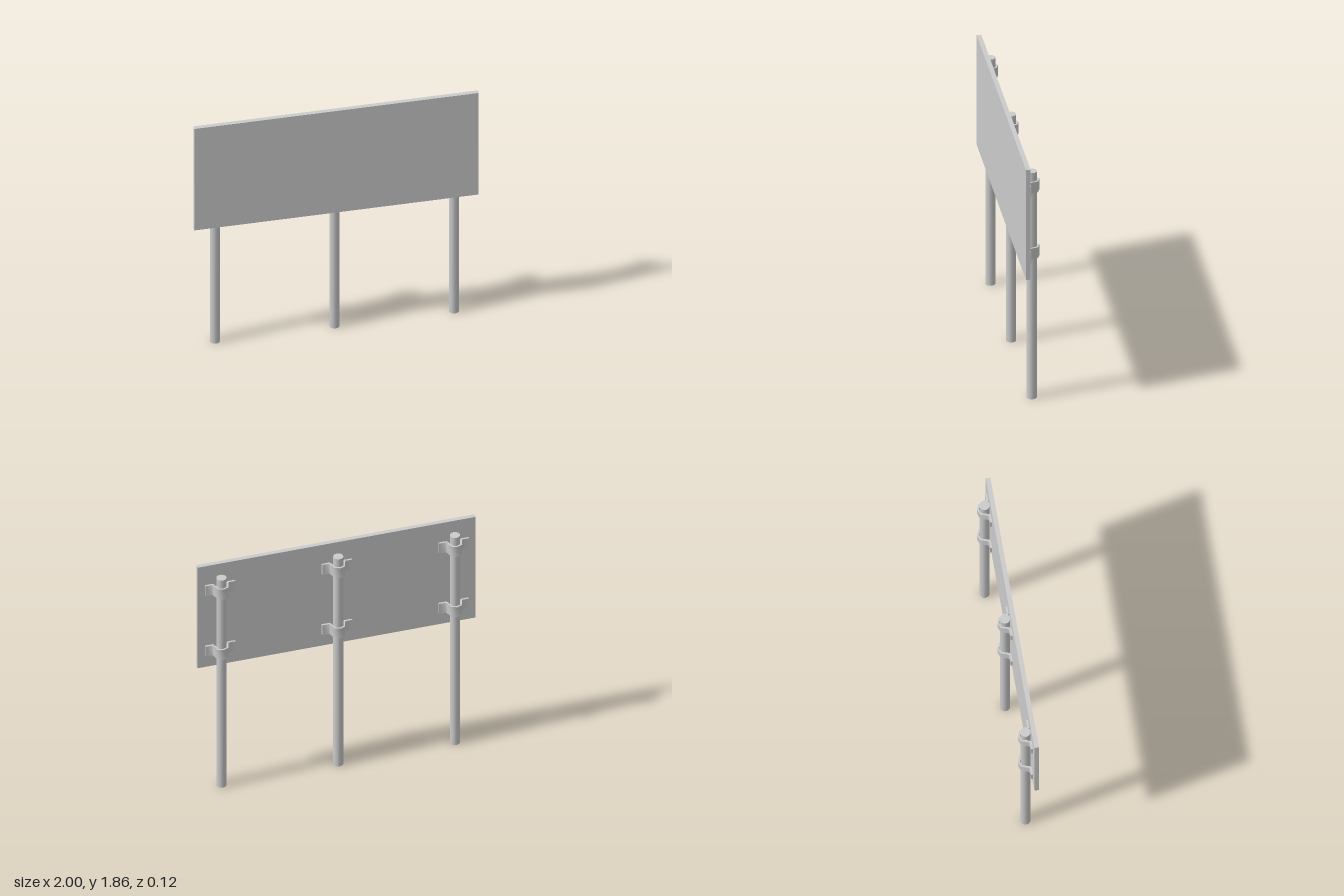
import * as THREE from 'three';
import { toCreasedNormals } from 'three/addons/utils/BufferGeometryUtils.js';

const POST_X = [-0.84, 0, 0.84];
const POST_Z = -0.0075;
const POST_HEIGHT = 1.76;
const CLAMP_Y = [1.14, 1.653];
const CLAMP_HEIGHT = 0.084;

// Hat-shaped strap seen from above: one half listed, the other mirrored
function clampGeometry() {
  const outer = [[0.108, 0.014], [0.06, 0.014], [0.053, 0.004], [0.038, -0.045], [0, -0.06]];
  const inner = [[0, -0.046], [0.028, -0.036], [0.043, 0.014], [0.052, 0.028], [0.108, 0.028]];
  const half = [...outer, ...inner];
  const mirror = (list) => list.map(([x, z]) => [-x, z]).reverse();
  const outline = [...outer, ...mirror(outer).slice(1), ...mirror(inner), ...inner.slice(1)];
  const shape = new THREE.Shape(outline.map(([x, z]) => new THREE.Vector2(x, z)));
  const geo = new THREE.ExtrudeGeometry(shape, { depth: CLAMP_HEIGHT, bevelEnabled: false });
  geo.rotateX(Math.PI / 2).translate(0, CLAMP_HEIGHT / 2, 0);
  return toCreasedNormals(geo, THREE.MathUtils.degToRad(58));
}

export function createModel() {
  const model = new THREE.Group();
  model.name = 'billboard';
  const material = new THREE.MeshStandardMaterial({ color: 0xcccccc });

  const add = (name, geometry, x, y, z) => {
    const mesh = new THREE.Mesh(geometry, material);
    mesh.name = name;
    mesh.position.set(x, y, z);
    model.add(mesh);
  };

  // Flat sign panel
  add('panel', new THREE.BoxGeometry(2, 0.855, 0.032), 0, 1.4275, 0.044);

  // Round posts, each held to the panel by two clamps
  const postGeo = new THREE.CylinderGeometry(0.0355, 0.0355, POST_HEIGHT, 16);
  const clampGeo = clampGeometry();
  for (const x of POST_X) {
    add('post', postGeo, x, POST_HEIGHT / 2, POST_Z);
    for (const y of CLAMP_Y) add('clamp', clampGeo, x, y, 0);
  }

  return model;
}
